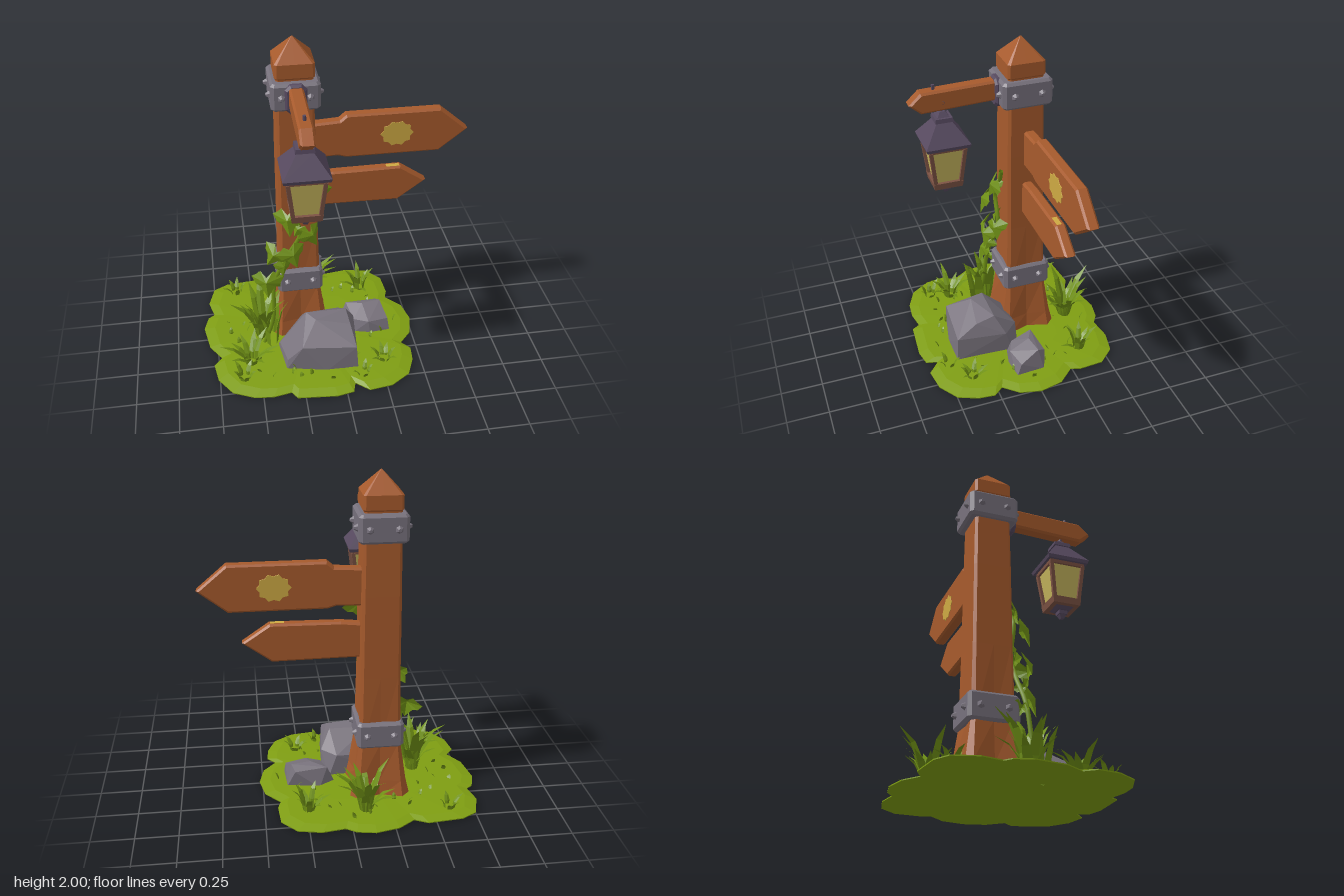
import * as THREE from 'three';
import { mergeGeometries } from 'three/addons/utils/BufferGeometryUtils.js';
import { ConvexGeometry } from 'three/addons/geometries/ConvexGeometry.js';

const V = (x, y, z) => new THREE.Vector3(x, y, z);
const mat = (name, color, side = THREE.FrontSide) => {
  const m = new THREE.MeshStandardMaterial({ color, side });
  m.name = name;
  return m;
};

// Faceted copy of a geometry
function flat(g) {
  const f = g.index ? g.toNonIndexed() : g;
  f.computeVertexNormals();
  return f;
}

// Triangles given as vectors -> faceted geometry
function fromTriangles(points) {
  const g = new THREE.BufferGeometry().setFromPoints(points);
  g.computeVertexNormals();
  return g;
}

// Skin over stacked rings (counter-clockwise about the stacking direction), capped at both ends
function loft(rings) {
  const p = [], n = rings[0].length;
  const middle = r => r.reduce((s, v) => s.add(v), V(0, 0, 0)).divideScalar(n);
  const first = rings[0], last = rings[rings.length - 1];
  const c0 = middle(first), c1 = middle(last);
  for (let j = 0; j < n; j++) {
    const k = (j + 1) % n;
    for (let i = 0; i + 1 < rings.length; i++) {
      const a = rings[i], b = rings[i + 1];
      p.push(a[j], a[k], b[k], a[j], b[k], b[j]);
    }
    p.push(c0, first[k], first[j], c1, last[j], last[k]);
  }
  return fromTriangles(p);
}

// Outline in XY extruded between z0 and z1 with a chamfer that stays inside the outline
function board(points, z0, z1, bevel = 0.012) {
  const shape = new THREE.Shape(points.map(([x, y]) => new THREE.Vector2(x, y)));
  const g = new THREE.ExtrudeGeometry(shape, {
    depth: z1 - z0 - 2 * bevel, bevelEnabled: true, bevelThickness: bevel,
    bevelSize: bevel, bevelOffset: -bevel, bevelSegments: 1,
  });
  return flat(g.translate(0, 0, z0 + bevel));
}

const octagon = (w, h, c) => [[w, c - h], [w, h - c], [w - c, h], [c - w, h], [-w, h - c], [-w, c - h], [c - w, -h], [w - c, -h]];

// Four-sided frustum given by its half widths
function frustum(y0, y1, bottom, top) {
  const g = new THREE.CylinderGeometry(top * Math.SQRT2, bottom * Math.SQRT2, y1 - y0, 4);
  return flat(g.rotateY(Math.PI / 4).translate(0, (y0 + y1) / 2, 0));
}

// Curved grass blade with a ridged back
function blade(x, z, angle, height, lean, width) {
  const out = V(Math.cos(angle), 0, Math.sin(angle)), up = V(0, 1, 0);
  const side = up.clone().cross(out);
  const rings = [0, 0.35, 0.7, 1].map((t, i) => {
    const c = V(x, 0.01, z).addScaledVector(out, lean * t * t + 0.03).addScaledVector(up, height * t * (1.25 - 0.25 * t * t));
    const w = width * [0.7, 1, 0.75, 0.03][i];
    return [c.clone().addScaledVector(side, w),
      c.clone().addScaledVector(out, -0.4 * w).addScaledVector(up, -0.3 * w),
      c.clone().addScaledVector(side, -w)];
  });
  return loft(rings);
}

// Folded ivy leaf hanging from its top, facing +z
function ivyLeaf([x, y, z, yaw, roll, size]) {
  const half = [[0, 0.012], [0.04, 0.05], [0.068, 0.03], [0.105, 0.012], [0.078, -0.035], [0.045, -0.05], [0, -0.125]];
  const rim = half.map(([a, b]) => V(a, b, -0.35 * a - 0.1 * Math.abs(b)));
  const mid = V(0, -0.02, 0.015), p = [];
  for (let i = 0; i + 1 < rim.length; i++) {
    const a = rim[i], b = rim[i + 1];
    p.push(mid, b, a, mid, V(-a.x, a.y, a.z), V(-b.x, b.y, b.z));
  }
  return fromTriangles(p).scale(size, size, size).rotateX(-0.3).rotateZ(roll).rotateY(yaw).translate(x, y, z);
}

export function createModel() {
  const group = new THREE.Group();
  const wood = mat('wood', 0xa65a2c), iron = mat('iron', 0x77717c), stone = mat('stone', 0x79737d);
  const darkMetal = mat('dark metal', 0x56495f), frameBrown = mat('lantern frame', 0x7d5344);
  const glass = mat('glass', 0xc4b45c), paint = mat('yellow paint', 0xcda943);
  const turf = mat('turf', 0x7f9e12), leafGreen = mat('leaf green', 0x6f9015, THREE.DoubleSide);
  const add = (name, geometry, material, parent = group) => {
    const m = new THREE.Mesh(geometry, material);
    m.name = name;
    parent.add(m);
    return m;
  };
  let seed = 7;
  const rand = (a, b) => {
    seed = (seed * 16807) % 2147483647;
    return a + (b - a) * seed / 2147483647;
  };
  const PX = -0.205, PZ = -0.117;

  // Ground patch with a scalloped edge
  const edge = [[-0.66, -0.54], [-0.45, -0.56], [-0.37, -0.52], [-0.27, -0.59], [-0.13, -0.62], [-0.02, -0.6], [0.04, -0.56],
    [0.18, -0.58], [0.32, -0.55], [0.41, -0.45], [0.42, -0.3], [0.4, -0.24], [0.49, -0.14], [0.52, 0], [0.49, 0.13], [0.41, 0.22],
    [0.46, 0.28], [0.45, 0.38], [0.4, 0.5], [0.28, 0.58], [0.14, 0.6], [0.06, 0.53], [0.04, 0.6], [-0.06, 0.62], [-0.3, 0.6],
    [-0.33, 0.55], [-0.44, 0.57], [-0.55, 0.56], [-0.68, 0.5], [-0.76, 0.38], [-0.78, 0.25], [-0.73, 0.19], [-0.8, 0.08],
    [-0.83, -0.1], [-0.8, -0.2], [-0.76, -0.23], [-0.79, -0.35], [-0.75, -0.49]].reverse();
  add('ground', loft([[1, 0], [1, 0.006], [0.9, 0.018], [0.5, 0.025]].map(([s, y]) =>
    edge.map(([x, z]) => V(-0.15 + (x + 0.15) * s, y, z * s)))), turf);

  // Post: chamfered square, flared and notched at the foot, pointed at the top
  const postRing = ([y, h, c, notch]) => {
    const ring = [];
    for (let k = 0; k < 4; k++) {
      for (let [a, b] of [[h - notch, 0], [h, h - c], [h - c, h]]) {
        for (let i = 0; i < k; i++) [a, b] = [-b, a];
        ring.push(V(PX + a, y, PZ - b));
      }
    }
    return ring;
  };
  add('post', loft([[0.01, 0.185, 0.05, 0.04], [0.12, 0.16, 0.035, 0.025], [0.36, 0.126, 0.02, 0.008], [0.8, 0.117, 0.016, 0],
    [1.3, 0.113, 0.016, 0], [1.79, 0.105, 0.014, 0], [1.8, 0.113, 0.014, 0], [1.88, 0.112, 0.014, 0],
    [2, 0.004, 0.001, 0]].map(postRing)), wood);

  // Iron bands with bolts
  for (const [name, y] of [['upperBand', 1.7], ['lowerBand', 0.432]]) {
    const band = new THREE.Group();
    band.name = name;
    band.position.set(PX, y, PZ);
    group.add(band);
    add('ring', board(octagon(0.14, 0.15, 0.02), -0.082, 0.082, 0.015).rotateX(Math.PI / 2), iron, band);
    for (let k = 0; k < 4; k++) {
      for (const s of [-1, 1]) {
        const bolt = new THREE.CylinderGeometry(0.01, 0.024, 0.024, 6).rotateX(Math.PI / 2);
        bolt.translate(s * 0.08, 0, k % 2 ? 0.15 : 0.16).rotateY(k * Math.PI / 2);
        add('bolt', flat(bolt), iron, band);
      }
    }
  }

  // Sign boards and their paint
  add('upperSign', board([[-0.12, 1.23], [0.05, 1.235], [0.1, 1.22], [0.66, 1.22], [0.83, 1.355], [0.66, 1.5], [0.1, 1.5],
    [0.06, 1.465], [-0.12, 1.455]], -0.17, -0.1), wood);
  add('lowerSign', board([[-0.12, 0.905], [0.42, 0.9], [0.59, 1.025], [0.43, 1.135], [0.02, 1.13], [-0.12, 1.115]], -0.155, -0.09), wood);
  const blot = [];
  for (let i = 0; i < 20; i++) {
    const a = i / 20 * Math.PI * 2, r = i % 2 ? 0.84 : 1;
    blot.push([0.4 + 0.1 * r * Math.cos(a), 1.36 + 0.083 * r * Math.sin(a)]);
  }
  add('paintFront', board(blot, -0.102, -0.097, 0.001), paint);
  add('paintBack', board(blot, -0.173, -0.168, 0.001), paint);
  add('paintChip', new THREE.BoxGeometry(0.08, 0.006, 0.03).translate(0.385, 1.132, -0.118), paint);

  // Arm reaching forward, with its collar
  const arm = board([[-0.02, 1.65], [0.48, 1.63], [0.55, 1.69], [0.48, 1.755], [-0.02, 1.77]], -0.041, 0.041);
  add('arm', arm.rotateY(-Math.PI / 2).translate(PX, 0, 0), wood);
  add('collar', board(octagon(0.062, 0.088, 0.03), 0.01, 0.052).translate(PX, 1.695, 0), darkMetal);
  add('peg', flat(new THREE.CylinderGeometry(0.01, 0.01, 0.05, 6).translate(PX, 1.76, 0.4)), darkMetal);

  // Lantern
  const lantern = new THREE.Group();
  lantern.name = 'lantern';
  lantern.position.set(PX, 0, 0.355);
  group.add(lantern);
  for (const [name, y0, y1, a, b, m] of [
    ['finialTip', 1.09, 1.115, 0.01, 0.022, darkMetal], ['finial', 1.115, 1.14, 0.026, 0.026, darkMetal],
    ['basePlate', 1.138, 1.16, 0.035, 0.06, darkMetal], ['lowerRim', 1.155, 1.195, 0.084, 0.09, frameBrown],
    ['panes', 1.19, 1.42, 0.069, 0.096, glass], ['upperRim', 1.405, 1.43, 0.108, 0.11, frameBrown],
    ['eave', 1.425, 1.445, 0.126, 0.132, darkMetal], ['roof', 1.445, 1.565, 0.132, 0.045, darkMetal],
    ['cap', 1.565, 1.59, 0.054, 0.05, darkMetal], ['capTip', 1.59, 1.62, 0.036, 0.016, darkMetal],
  ]) add(name, frustum(y0, y1, a, b), m, lantern);
  for (const sx of [-1, 1]) {
    for (const sz of [-1, 1]) {
      const rings = [[1.19, 0.076], [1.41, 0.101]].map(([y, h]) =>
        [[1, 1], [1, -1], [-1, -1], [-1, 1]].map(([a, b]) => V(sx * h + a * 0.011, y, sz * h + b * 0.011)));
      add('cornerBar', loft(rings), frameBrown, lantern);
    }
  }
  const hook = new THREE.CatmullRomCurve3([V(0, 1.61, 0), V(0, 1.65, 0.012), V(0.045, 1.69, 0), V(0.05, 1.69, 0.005)]);
  add('hook', new THREE.TubeGeometry(hook, 8, 0.01, 6), darkMetal, lantern);

  // Boulders
  add('largeBoulder', new ConvexGeometry([V(-0.37, 0.01, 0.12), V(-0.34, 0.01, 0.36), V(-0.3, 0.01, 0.02), V(0.1, 0.01, 0.41),
    V(-0.1, 0.01, 0.41), V(0.12, 0.01, 0.05), V(0.08, 0.01, 0), V(-0.36, 0.06, 0.16), V(-0.33, 0.08, 0.35), V(0.09, 0.17, 0.4),
    V(-0.24, 0.19, 0.38), V(-0.19, 0.275, 0.15), V(-0.14, 0.285, 0.24), V(0.06, 0.275, 0.15), V(0.07, 0.25, 0.27),
    V(0.12, 0.16, 0.09), V(0.03, 0.16, 0), V(-0.2, 0.15, 0.02)]), stone);
  add('smallBoulder', new ConvexGeometry([V(0.05, 0.01, -0.06), V(0.12, 0.01, 0.09), V(0.23, 0.01, 0.115), V(0.36, 0.01, 0.1),
    V(0.35, 0.01, -0.08), V(0.15, 0.01, -0.12), V(0.13, 0.1, 0.06), V(0.22, 0.1, 0.1), V(0.35, 0.09, 0.07), V(0.32, 0.15, -0.05),
    V(0.2, 0.152, -0.03), V(0.1, 0.13, -0.08), V(0.3, 0.12, -0.1)]), stone);

  // Grass clumps: x, z, blades, height, spread
  for (const [x, z, count, height, spread] of [[-0.46, 0.03, 12, 0.38, 0.17], [-0.55, 0.27, 10, 0.2, 0.16],
    [-0.1, -0.4, 15, 0.31, 0.19], [0.24, -0.36, 9, 0.16, 0.11], [-0.6, -0.43, 5, 0.08, 0.07],
    [-0.6, 0.4, 6, 0.09, 0.06], [0.27, 0.36, 7, 0.1, 0.08], [0.12, 0.47, 4, 0.07, 0.05]]) {
    const blades = [];
    for (let i = 0; i < count; i++) {
      const angle = (i + rand(-0.3, 0.3)) / count * Math.PI * 2;
      blades.push(blade(x, z, angle, height * rand(0.45, 1.05), spread * rand(0.5, 1), 0.012 + height * 0.045));
    }
    add('grassClump', mergeGeometries(blades), leafGreen);
  }
  // Scattered sprouts
  const sprouts = [];
  for (let i = 0; i < 44; i++) {
    const a = i * 2.4, r = rand(0.62, 0.88);
    sprouts.push(blade(-0.15 + 0.6 * r * Math.cos(a), 0.55 * r * Math.sin(a), rand(0, 6.28), rand(0.025, 0.06), 0.02, 0.014));
  }
  add('sprouts', mergeGeometries(sprouts), leafGreen);

  // Climbing vine with leaves
  const vine = new THREE.CatmullRomCurve3([V(-0.46, 0, 0.1), V(-0.39, 0.2, 0.08), V(-0.37, 0.46, 0.05), V(-0.28, 0.64, 0.03),
    V(-0.2, 0.8, 0.03), V(-0.25, 0.98, 0.03), V(-0.17, 1.1, 0.03), V(-0.13, 1.2, 0.03)]);
  add('vine', new THREE.TubeGeometry(vine, 32, 0.014, 5), leafGreen);
  add('vineLeaves', mergeGeometries([[-0.11, 1.15, 0.09, -0.2, -0.2, 0.9], [-0.17, 1.09, 0.06, 0.5, 0.6, 0.6],
    [-0.28, 0.96, 0.09, -0.4, 0.15, 1], [-0.14, 0.82, 0.07, 0.6, 0.3, 0.8], [-0.21, 0.85, 0.05, -0.7, -0.4, 0.6],
    [-0.26, 0.71, 0.1, 0.3, 0.2, 0.9], [-0.36, 0.7, 0.08, -0.6, -0.5, 0.85], [-0.42, 0.49, 0.06, -0.3, 0.1, 1],
    [-0.35, 0.45, 0.03, 0.8, 0.5, 0.6], [-0.31, 0.59, 0.06, 0.4, -0.2, 0.6]].map(ivyLeaf)), leafGreen);
  // Tall leaves around the foot of the vine
  add('vineFoot', mergeGeometries([[-0.4, 0.12, 2.6, 0.3], [-0.4, 0.1, 0.4, 0.36], [-0.44, 0.08, 3.4, 0.26], [-0.4, 0.04, 5.4, 0.3]]
    .map(([x, z, a, h]) => blade(x, z, a, h, 0.08, 0.028))), leafGreen);

  return group;
}
